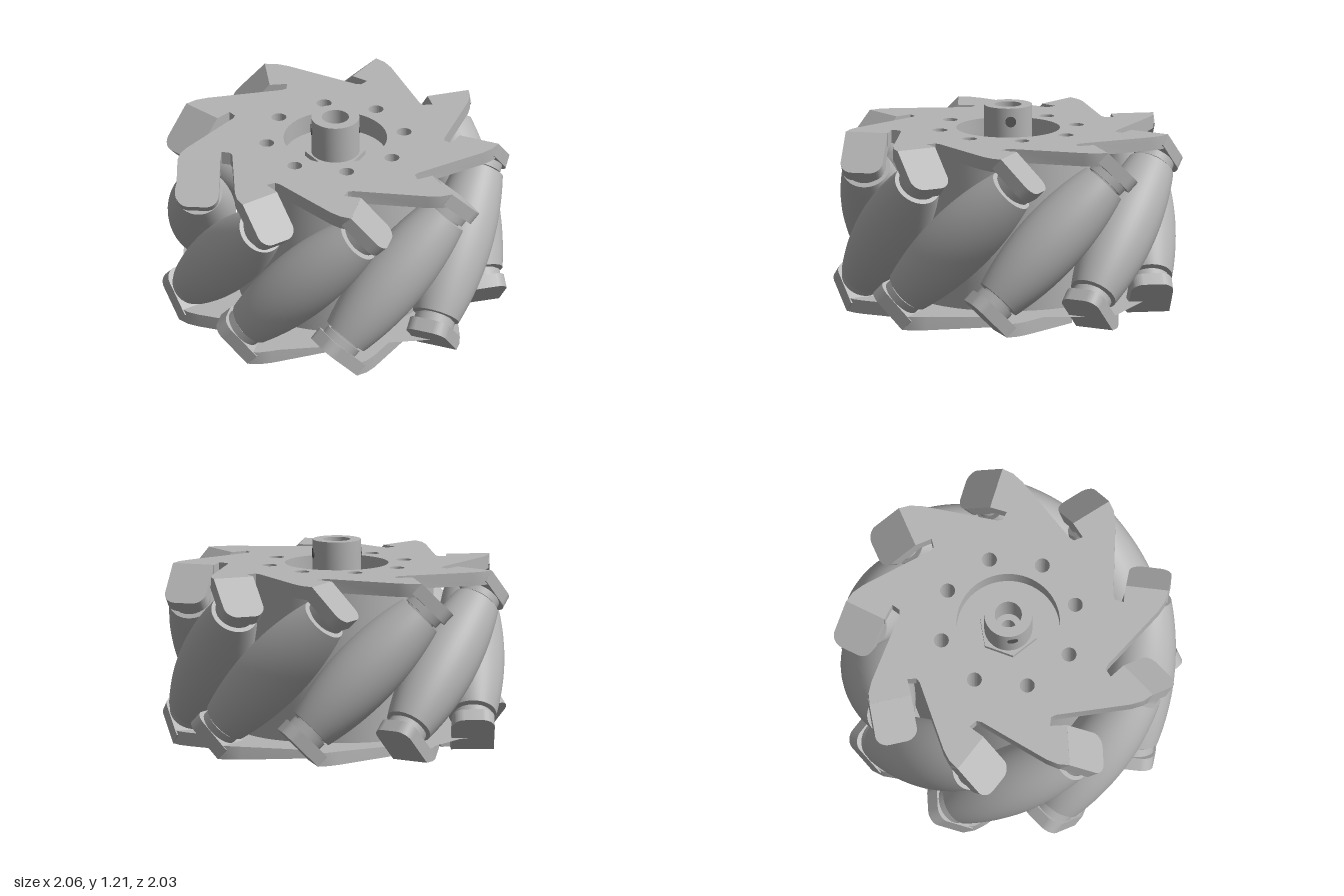
import * as THREE from 'three';
import { toCreasedNormals } from 'three/addons/utils/BufferGeometryUtils.js';

const COUNT = 9, STEP = (Math.PI * 2) / COUNT;
const MID = 0.535;         // mid height of the wheel
const AXIS_R = 0.787;      // distance from wheel axis to roller axes
const WHEEL_R = 0.988;     // rolling radius
const PLATE = 0.08;        // sheet thickness
const rollerAngle = (k) => STEP / 2 + k * STEP;

const grey = new THREE.MeshStandardMaterial({ color: 0xb4b4b4 });
grey.name = 'metal grey';
const dark = new THREE.MeshStandardMaterial({ color: 0x5c5c5c });
dark.name = 'hole grey';

function add(parent, name, geometry, material = grey) {
  const mesh = new THREE.Mesh(geometry, material);
  mesh.name = name;
  parent.add(mesh);
  return mesh;
}

function circle(r, x = 0, y = 0) {
  const p = new THREE.Path();
  p.absarc(x, y, r, 0, Math.PI * 2, true);
  return p;
}

// Extrudes a plan shape upward from y0; shape y points to -z
function slab(shape, y0, height) {
  const g = new THREE.ExtrudeGeometry(shape, { depth: height, bevelEnabled: false, curveSegments: 32 });
  g.rotateX(-Math.PI / 2);
  g.translate(0, y0, 0);
  return toCreasedNormals(g, 0.5);
}

// Centre opening and ring of eight bolt holes
function drill(shape) {
  shape.holes.push(circle(0.305));
  for (let i = 0; i < 8; i++) {
    const a = (i * Math.PI) / 4 - 0.04;
    shape.holes.push(circle(0.044, 0.41 * Math.sin(a), -0.41 * Math.cos(a)));
  }
  return shape;
}

// Saw-toothed side plate; dir = 1 for the top, -1 for the bottom
function plateShape(dir) {
  const tooth = [ // tangential, radial
    [-0.19, 0.615], [0.178, 0.869], [0.245, 0.902], [0.3135, 0.912],
    [0.3135, 0.66], [0.21, 0.66], [0.22, 0.606],
  ];
  const pts = [];
  for (let k = 0; k < COUNT; k++) {
    const a = dir * rollerAngle(k), c = Math.cos(a), s = Math.sin(a);
    for (const [u, r] of tooth) {
      pts.push(new THREE.Vector2(dir * (u * c + r * s), u * s - r * c));
    }
  }
  return drill(new THREE.Shape(pts));
}

// Barrel whose outline rolls on the wheel's cylinder at 45 degrees
function rollerGeometry() {
  const pts = [];
  const n = 24;
  for (let i = 0; i <= n; i++) {
    const s = -0.425 + (0.85 * i) / n, t = s * Math.SQRT1_2;
    const d = Math.hypot(AXIS_R, t), gap = WHEEL_R - d, sin = t / d;
    pts.push(new THREE.Vector2(gap * Math.sqrt(1 - sin * sin / 2), s + gap * Math.SQRT1_2 * sin));
  }
  pts.unshift(new THREE.Vector2(0, pts[0].y));
  pts.push(new THREE.Vector2(0, pts[n + 1].y));
  return toCreasedNormals(new THREE.LatheGeometry(pts, 40), 0.6);
}

// Bent tab with two rounded corners, square to the roller axis
function tabGeometry() {
  const h = 0.126, end = 0.132, r = 0.075, start = -0.157;
  const s = new THREE.Shape();
  s.moveTo(start, -h);
  s.lineTo(end - r, -h);
  s.absarc(end - r, -h + r, r, -Math.PI / 2, 0, false);
  s.lineTo(end, h - r);
  s.absarc(end - r, h - r, r, 0, Math.PI / 2, false);
  s.lineTo(start, h);
  s.closePath();
  return slab(s, 0.52, PLATE);
}

export function createModel() {
  const wheel = new THREE.Group();
  wheel.name = 'rollerWheel';

  add(wheel, 'topPlate', slab(plateShape(1), 2 * MID - PLATE, PLATE));
  add(wheel, 'bottomPlate', slab(plateShape(-1), 0, PLATE));

  // Drum between the plates
  const drum = new THREE.Shape();
  drum.absarc(0, 0, 0.57, 0, Math.PI * 2, false);
  add(wheel, 'drum', slab(drill(drum), PLATE, 2 * (MID - PLATE)));

  // Recessed hub with stepped bore and shaft collar
  const profile = [
    [0.305, 0.95], [0.142, 0.95], [0.142, 1.21], [0.08, 1.21], [0.08, 1.0],
    [0.042, 1.0], [0.042, 0.8], [0.14, 0.8], [0.14, 0.13], [0.305, 0.13],
  ].map(([r, y]) => new THREE.Vector2(r, y));
  add(wheel, 'hub', toCreasedNormals(new THREE.LatheGeometry(profile, 48), 0.5));

  // Hexagonal foot of the shaft collar
  const hex = new THREE.Shape();
  for (let i = 0; i < 6; i++) {
    const a = (i * Math.PI) / 3 + 0.11;
    const x = -0.178 * Math.sin(a), y = 0.178 * Math.cos(a);
    if (i) hex.lineTo(x, y); else hex.moveTo(x, y);
  }
  hex.closePath();
  hex.holes.push(circle(0.14));
  add(wheel, 'hexFoot', slab(hex, 0.95, 0.03));

  // Cross hole through the shaft collar, shown as thin discs
  for (const side of [1, -1]) {
    const pin = new THREE.Group();
    pin.name = 'crossHole';
    pin.rotation.y = Math.atan2(-0.11 * side, 0.085 * side);
    const disc = add(pin, 'crossHoleFace', new THREE.CylinderGeometry(0.032, 0.032, 0.008, 24), dark);
    disc.rotation.x = Math.PI / 2;
    disc.position.set(0, 1.13, 0.14);
    wheel.add(pin);
  }

  // Rollers with end collars and the bent tabs that hold them
  const roller = rollerGeometry(), tab = tabGeometry();
  const collar = new THREE.CylinderGeometry(0.12, 0.12, 0.05, 32);
  const pin = new THREE.CylinderGeometry(0.1, 0.1, 1.06, 24);
  for (let k = 0; k < COUNT; k++) {
    const station = new THREE.Group();
    station.name = 'rollerStation';
    station.rotation.y = rollerAngle(k);
    const tilt = new THREE.Group();
    tilt.name = 'rollerAssembly';
    tilt.position.set(0, MID, AXIS_R);
    tilt.rotation.z = -Math.PI / 4;
    add(tilt, 'roller', roller);
    add(tilt, 'axle', pin);
    for (const end of [0, Math.PI]) {
      const holder = new THREE.Group();
      holder.name = 'rollerHolder';
      holder.rotation.z = end;
      add(holder, 'tab', tab);
      add(holder, 'collar', collar).position.y = 0.5;
      tilt.add(holder);
    }
    station.add(tilt);
    wheel.add(station);
  }
  return wheel;
}
